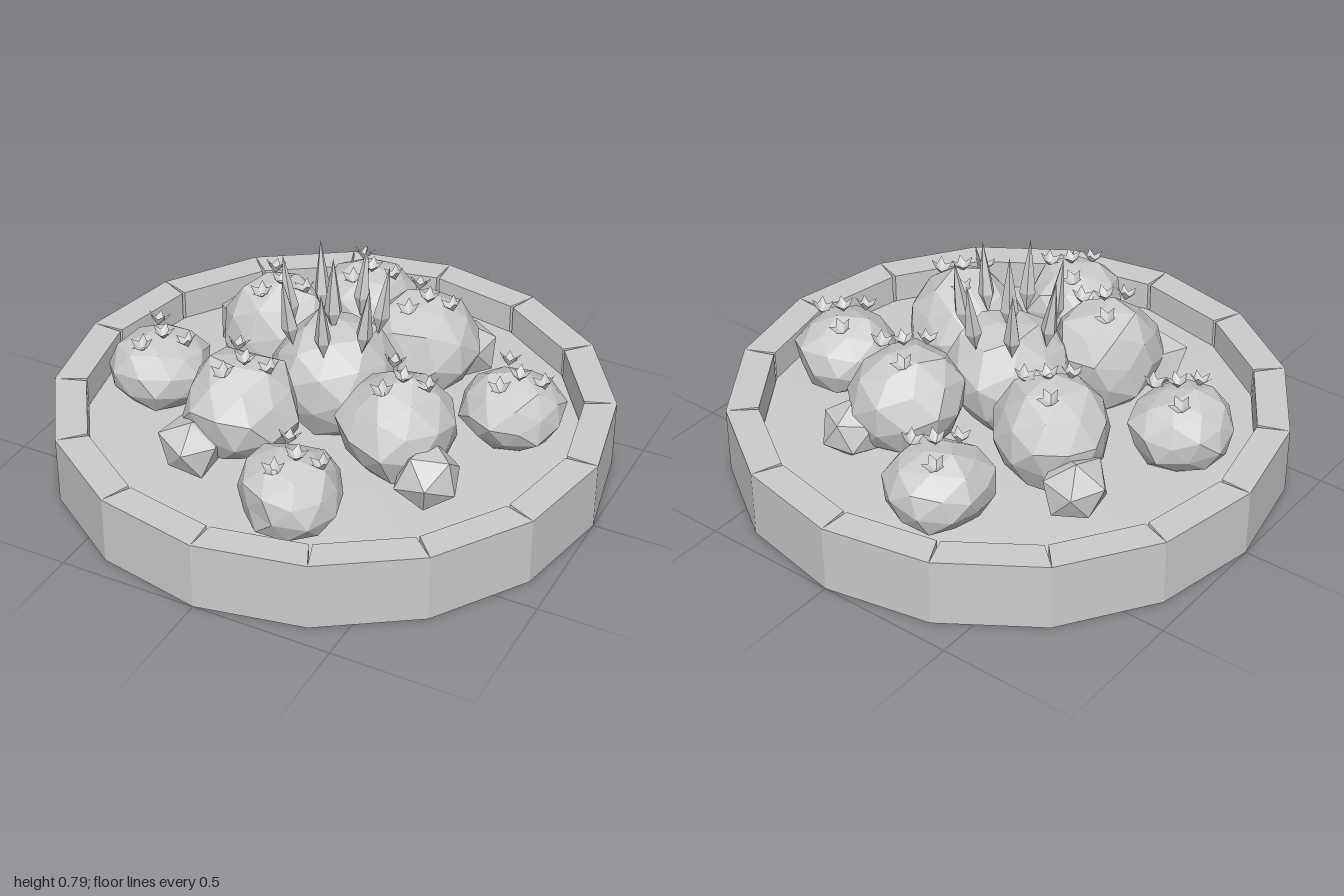
import * as THREE from 'three';

const stone = new THREE.MeshStandardMaterial({ color: 0xcccccc, flatShading: true });
stone.name = 'pale grey';
const petal = stone.clone();
petal.name = 'pale grey petals';
petal.side = THREE.DoubleSide;

// Small seeded random generator
function seeded(seed) {
  let s = seed * 7919 + 17;
  return () => (s = (s * 16807) % 2147483647) / 2147483647;
}

function add(parent, name, geometry, material = stone) {
  const mesh = new THREE.Mesh(geometry, material);
  mesh.name = name;
  parent.add(mesh);
  return mesh;
}

// Faceted lump: an icosahedron with every corner nudged in or out
function lump(radius, height, detail, seed) {
  const geo = new THREE.IcosahedronGeometry(1, detail);
  const pos = geo.attributes.position;
  const rand = seeded(seed);
  for (let i = 0; i < 5; i++) rand();
  const turn = new THREE.Euler(rand() * 6, rand() * 6, rand() * 6);
  const nudges = new Map();
  const v = new THREE.Vector3();
  for (let i = 0; i < pos.count; i++) {
    v.fromBufferAttribute(pos, i);
    const key = v.toArray().map((n) => Math.round(n * 100)).join();
    if (!nudges.has(key)) nudges.set(key, 0.9 + rand() * 0.16);
    v.multiplyScalar(nudges.get(key)).applyEuler(turn);
    pos.setXYZ(i, v.x * radius, v.y * height, v.z * radius);
  }
  geo.computeVertexNormals();
  return geo;
}

// Star-rimmed open cup
function blossom() {
  const geo = new THREE.ConeGeometry(0.042, 0.045, 10, 1, true);
  geo.rotateX(Math.PI);
  const pos = geo.attributes.position;
  for (let i = 0; i < pos.count; i++) {
    if (pos.getY(i) > 0 && i % 2) {
      pos.setXYZ(i, pos.getX(i) * 0.6, 0.003, pos.getZ(i) * 0.6);
    }
  }
  geo.computeVertexNormals();
  return geo;
}

// Slim spike, widest near its lower end
function spike(height, width) {
  const points = [[0, 0], [width, height * 0.28], [width * 0.6, height * 0.6], [0, height]];
  return new THREE.LatheGeometry(points.map(([x, y]) => new THREE.Vector2(x, y)), 5);
}

export function createModel() {
  const model = new THREE.Group();
  model.name = 'roundPlanter';

  // Sixteen rim blocks that meet at the outer corners, with narrow inner gaps
  const rim = new THREE.Group();
  rim.name = 'rim';
  model.add(rim);
  const half = Math.PI / 16;
  const inner = 0.885;
  for (let i = 0; i < 16; i++) {
    const at = (r, a) => new THREE.Vector2(r * Math.cos(a), r * Math.sin(a));
    const shape = new THREE.Shape([
      at(1, -half), at(1, half), at(inner, half - 0.007), at(inner, -half + 0.007),
    ]);
    const geo = new THREE.ExtrudeGeometry(shape, { depth: 0.25, bevelEnabled: false });
    geo.rotateX(-Math.PI / 2).rotateY((i + 0.5) * 2 * half);
    add(rim, 'rimBlock', geo);
  }

  // Slightly mounded soil bed
  const soil = [[0, 0.004], [0.884, 0.004], [0.884, 0.14], [0.45, 0.155], [0, 0.16]];
  const bed = add(model, 'soil',
    new THREE.LatheGeometry(soil.map(([x, y]) => new THREE.Vector2(x, y)), 16));
  bed.rotation.y = Math.PI / 2;

  // Four-fold arrangement of inner shrubs, outer shrubs and small rocks
  const inners = [[0.19, -0.33], [0.335, 0.18], [-0.19, 0.325], [-0.33, -0.2]];
  const outers = [[-0.165, -0.6], [0.615, -0.165], [0.155, 0.605], [-0.615, 0.16]];
  const rocks = [[0.3, -0.5], [0.51, 0.3], [-0.29, 0.49], [-0.51, -0.31]];
  const flowerSpots = [[-0.05, -0.08], [0.03, 0.02], [-0.01, 0.1], [0.11, -0.005]];

  function shrub(name, [x, z], y, radius, height, seed) {
    const group = new THREE.Group();
    group.name = name;
    group.position.set(x, y, z);
    model.add(group);
    add(group, 'foliage', lump(radius, height, 1, seed));
    for (const [fx, fz] of flowerSpots) {
      const drop = Math.sqrt(Math.max(0, 1 - (fx * fx + fz * fz) / (radius * radius)));
      const flower = add(group, 'flower', blossom(), petal);
      flower.position.set(fx, height * drop * 0.97 + 0.016, fz);
      flower.rotation.set(fz * 2.5, fx * 30, -fx * 2.5);
    }
  }
  inners.forEach((p, i) => shrub('innerShrub', p, 0.32, 0.21, 0.205, i + 11));
  outers.forEach((p, i) => shrub('outerShrub', p, 0.265, 0.188, 0.15, i + 31));
  rocks.forEach(([x, z], i) => {
    add(model, 'smallRock', lump(0.125, 0.12, 0, i + 51)).position.set(x, 0.235, z);
  });

  // Central mound with a crown of leaning spikes
  const centre = new THREE.Group();
  centre.name = 'centrePlant';
  model.add(centre);
  add(centre, 'mound', lump(0.23, 0.225, 1, 71)).position.y = 0.33;
  add(centre, 'middleSpike', spike(0.29, 0.033)).position.y = 0.5;
  for (let i = 0; i < 7; i++) {
    const arm = new THREE.Group();
    arm.name = 'spikeArm';
    arm.rotation.y = 1.38 - (i * Math.PI * 2) / 7;
    centre.add(arm);
    const leaf = add(arm, 'spike', spike(0.275, 0.03));
    leaf.position.set(0.155, 0.485, 0);
    leaf.rotation.z = -0.14;
  }
  return model;
}
